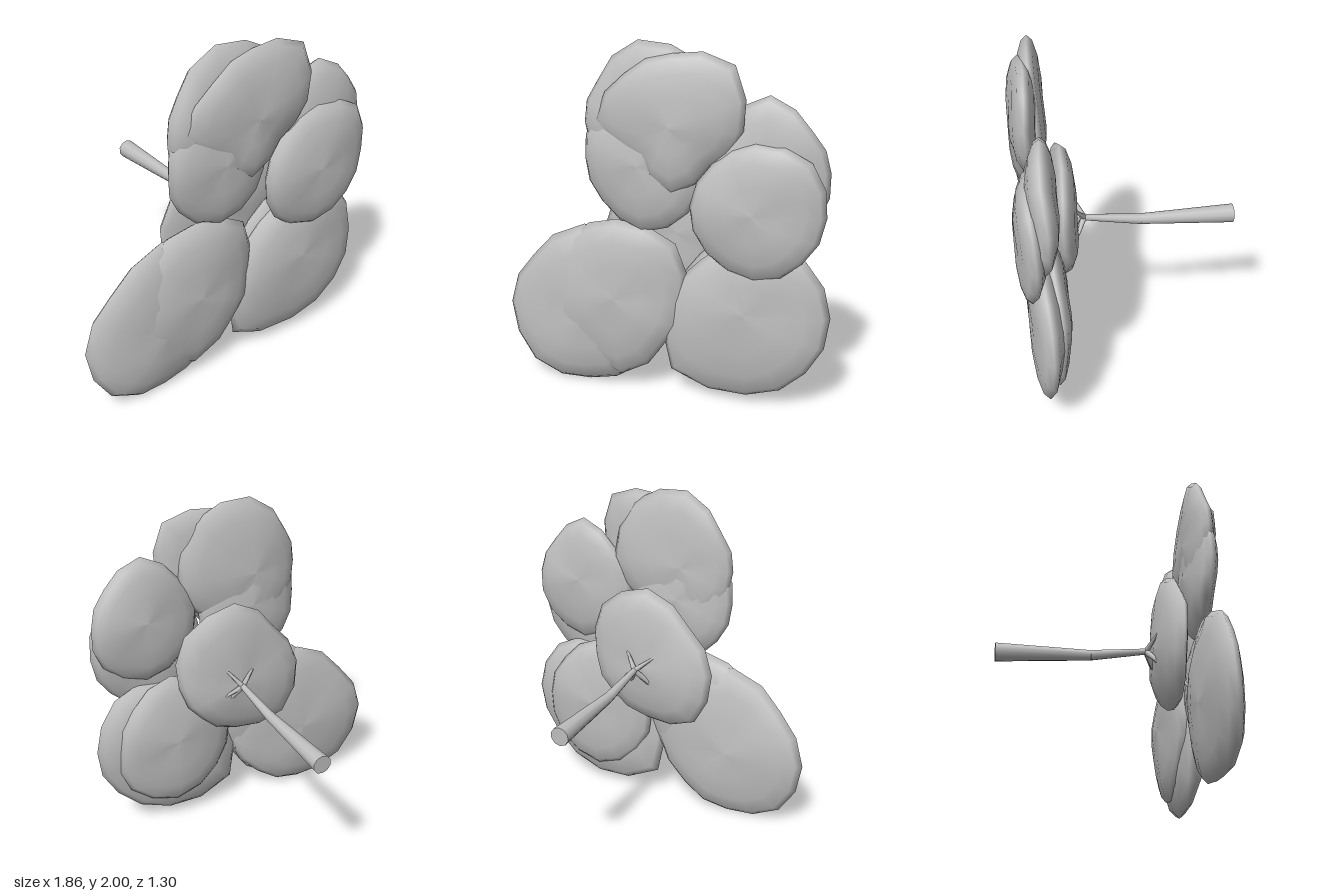
import * as THREE from 'three';

const grey = new THREE.MeshStandardMaterial({ color: 0xc0c0c0 });
grey.name = 'plain grey';

// Flattened leaf clump: radii at equal angles round a centre, domed to both sides in z
function clump(name, x, y, z, back, front, radii) {
  const n = radii.length * 2, layers = 8, pos = [], index = [];
  for (let k = 0; k <= layers; k++) {
    const t = (k / layers) * Math.PI;
    const spread = Math.sin(t) ** 0.9, lift = -Math.cos(t) * (k < layers / 2 ? back : front);
    for (let i = 0; i < n; i++) {
      const a = (i / n) * Math.PI * 2;
      const r = (radii[i >> 1] + radii[((i + 1) >> 1) % radii.length]) / 2 * spread;
      const wobble = 0.012 * spread * Math.sin(i * 1.15 + x * 9);
      pos.push(x + r * Math.cos(a), y + r * Math.sin(a), z + lift + wobble);
      if (k === layers) continue;
      const p = k * n + i, q = k * n + (i + 1) % n;
      if (k > 0) index.push(p, q, q + n);
      if (k < layers - 1) index.push(p, q + n, p + n);
      else index.push(p, q, p + n);
    }
  }
  const g = new THREE.BufferGeometry();
  g.setAttribute('position', new THREE.Float32BufferAttribute(pos, 3));
  g.setIndex(index);
  g.computeVertexNormals();
  const mesh = new THREE.Mesh(g, grey);
  mesh.name = name;
  return mesh;
}

// Tapered limb between two points
function limb(name, from, to, ra, rb, sides) {
  const dir = to.clone().sub(from);
  const mesh = new THREE.Mesh(new THREE.CylinderGeometry(rb, ra, dir.length(), sides), grey);
  mesh.position.copy(from).lerp(to, 0.5);
  mesh.quaternion.setFromUnitVectors(new THREE.Vector3(0, 1, 0), dir.normalize());
  mesh.name = name;
  return mesh;
}

export function createModel() {
  const model = new THREE.Group();

  // Leaf clumps
  const foliage = new THREE.Group();
  foliage.name = 'foliage';
  foliage.add(
    clump('topFrontClump', 0.08, 1.58, 0.55, 0.08, 0.08, [0.38, 0.47, 0.37, 0.36, 0.43, 0.28, 0.37, 0.29]),
    clump('topBackClump', -0.12, 1.55, 0.5, 0.08, 0.08, [0.48, 0.5, 0.45, 0.32, 0.3, 0.31, 0.42, 0.39]),
    clump('upperLeftClump', -0.1, 1.35, 0.51, 0.09, 0.09, [0.33, 0.36, 0.33, 0.36, 0.32, 0.34, 0.39, 0.36]),
    clump('upperRightFrontClump', 0.53, 1.16, 0.565, 0.085, 0.085, [0.37, 0.41, 0.37, 0.33, 0.35, 0.37, 0.39, 0.36]),
    clump('upperRightBackClump', 0.58, 1.38, 0.5, 0.085, 0.085, [0.32, 0.31, 0.38, 0.31, 0.34, 0.35, 0.4, 0.37]),
    clump('lowerLeftFrontClump', -0.25, 0.58, 0.515, 0.095, 0.095, [0.38, 0.47, 0.44, 0.42, 0.4, 0.45, 0.51, 0.38]),
    clump('lowerLeftBackClump', -0.45, 0.42, 0.49, 0.09, 0.1, [0.5, 0.52, 0.54, 0.45, 0.48, 0.48, 0.42, 0.42]),
    clump('lowerRightFrontClump', 0.48, 0.58, 0.5, 0.095, 0.095, [0.45, 0.44, 0.38, 0.36, 0.42, 0.61, 0.53, 0.47]),
    clump('lowerRightBackClump', 0.45, 0.58, 0.44, 0.08, 0.08, [0.36, 0.36, 0.42, 0.36, 0.38, 0.4, 0.44, 0.42]),
    clump('centreClump', 0.06, 0.94, 0.37, 0.1, 0.06, [0.37, 0.46, 0.48, 0.38, 0.43, 0.46, 0.37, 0.33]));
  model.add(foliage);

  // Trunk, slightly bent
  const root = new THREE.Vector3(0.06, 0.865, -0.65);
  const bend = new THREE.Vector3(0.07, 0.885, -0.1);
  const fork = new THREE.Vector3(0.08, 0.935, 0.23);
  model.add(limb('trunkBase', root, bend, 0.055, 0.031, 10));
  model.add(limb('trunkTop', bend, fork, 0.031, 0.018, 10));

  // Short branches fanning from the fork over the centre clump
  for (let i = 0; i < 4; i++) {
    const a = 0.9 + i * Math.PI / 2;
    const tip = new THREE.Vector3(0.08 + 0.16 * Math.cos(a), 0.935 + 0.16 * Math.sin(a), 0.3);
    model.add(limb('branch', fork, tip, 0.017, 0.005, 6));
  }

  // Long branches reaching into the lower clumps
  for (const x of [-0.22, 0.3]) {
    model.add(limb('lowerBranch', fork, new THREE.Vector3(x, 0.56, 0.47), 0.017, 0.007, 6));
  }

  return model;
}
